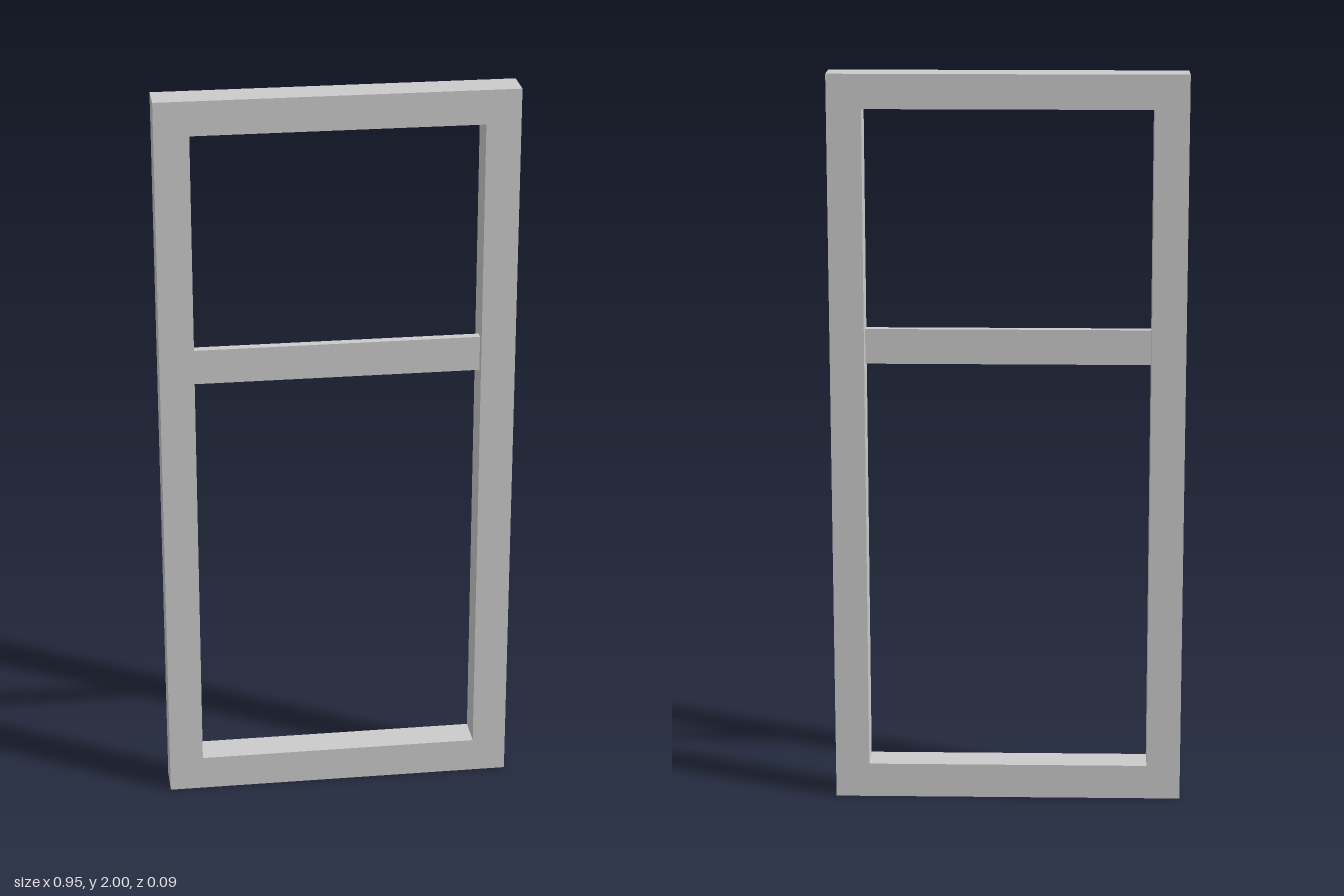
import * as THREE from 'three';

const W = 0.95, H = 2, D = 0.094; // outer size of the frame
const INNER = 0.383;              // half width of the opening
const BOTTOM = 0.095, TOP = 1.908; // opening height range

export function createModel() {
  const group = new THREE.Group();
  group.name = 'windowFrame';
  const material = new THREE.MeshStandardMaterial({ color: 0xcccccc });

  // Outer frame: a rectangle with one tall opening
  const outline = new THREE.Shape([
    new THREE.Vector2(-W / 2, 0), new THREE.Vector2(W / 2, 0),
    new THREE.Vector2(W / 2, H), new THREE.Vector2(-W / 2, H),
  ]);
  outline.holes.push(new THREE.Path([
    new THREE.Vector2(-INNER, BOTTOM), new THREE.Vector2(-INNER, TOP),
    new THREE.Vector2(INNER, TOP), new THREE.Vector2(INNER, BOTTOM),
  ]));
  const frameGeometry = new THREE.ExtrudeGeometry(outline, { depth: D, bevelEnabled: false });
  frameGeometry.translate(0, 0, -D / 2);
  const frame = new THREE.Mesh(frameGeometry, material);
  frame.name = 'outerFrame';
  group.add(frame);

  // Thin crossbar, set slightly forward of the middle
  const crossbar = new THREE.Mesh(new THREE.BoxGeometry(INNER * 2, 0.095, 0.024), material);
  crossbar.name = 'crossbar';
  crossbar.position.set(0, 1.265, 0.012);
  group.add(crossbar);

  return group;
}
